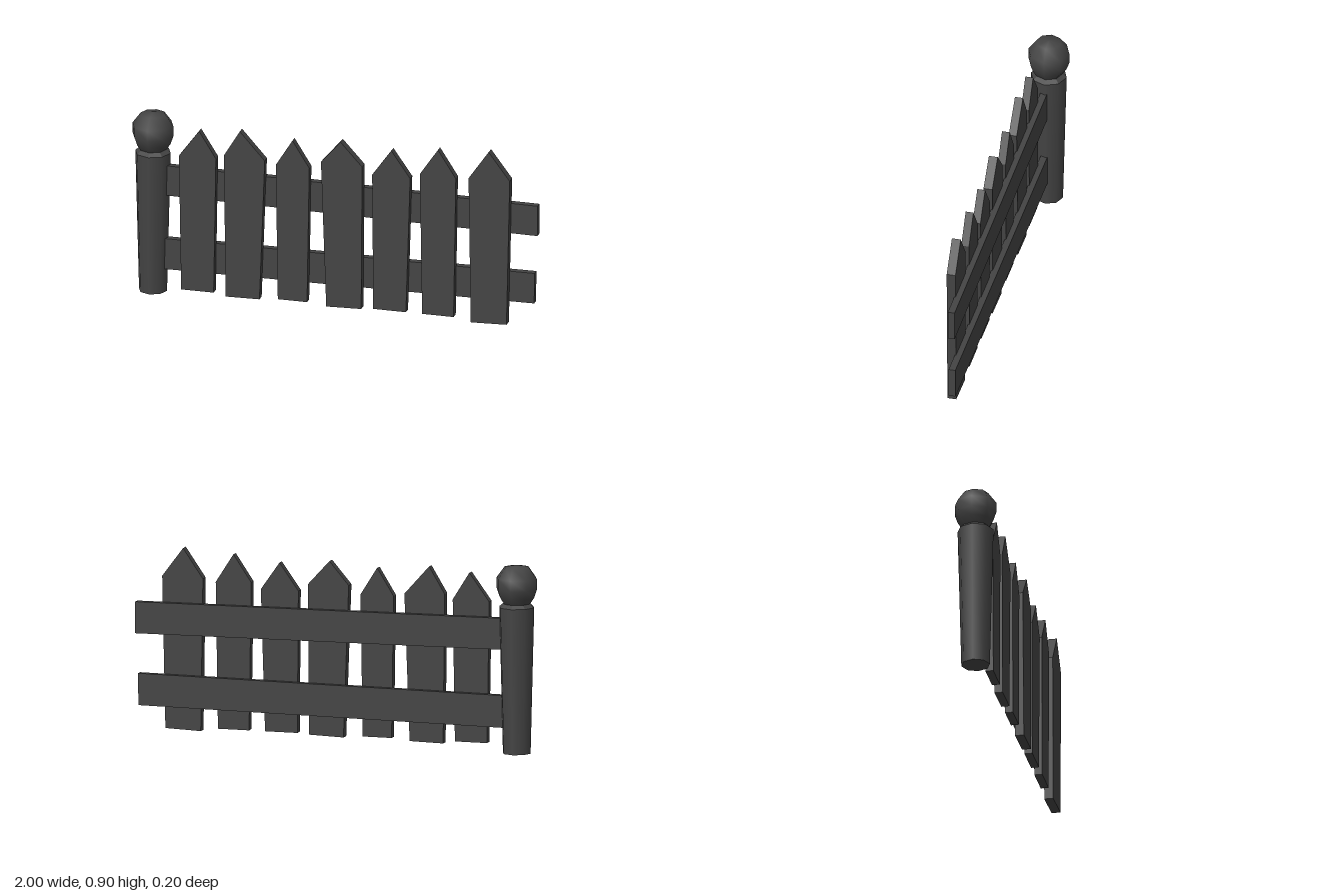
import * as THREE from 'three';

const material = new THREE.MeshStandardMaterial({ color: 0x444444 });
const flat = new THREE.MeshStandardMaterial({ color: 0x444444, flatShading: true });

// Board cut from a front outline, extruded from z0 to z1
function board(name, points, z0, z1) {
  const shape = new THREE.Shape(points.map(([x, y]) => new THREE.Vector2(x, y)));
  const geometry = new THREE.ExtrudeGeometry(shape, { depth: z1 - z0, bevelEnabled: false });
  geometry.translate(0, 0, z0);
  const mesh = new THREE.Mesh(geometry, flat);
  mesh.name = name;
  return mesh;
}

// Eight-sided turned part
function turned(name, profile, mat) {
  const points = profile.map(([r, y]) => new THREE.Vector2(r, y));
  const mesh = new THREE.Mesh(new THREE.LatheGeometry(points, 8), mat);
  mesh.name = name;
  return mesh;
}

export function createModel() {
  const fence = new THREE.Group();
  fence.name = 'fence';

  // Tapered post with chamfered rim and a ball on top
  const post = new THREE.Group();
  post.name = 'post';
  post.position.x = -0.9;
  post.add(
    turned('postShaft', [[0.069, 0], [0.087, 0.703]], material),
    turned('postBase', [[0, 0], [0.069, 0]], flat),
    turned('postRim', [[0.087, 0.703], [0.066, 0.72]], flat),
    turned('postBall', [[0.066, 0.72], [0.086, 0.75], [0.1, 0.79], [0.1, 0.842], [0.061, 0.895], [0, 0.905]], material)
  );
  fence.add(post);

  // Two slightly tilted rails behind the pickets
  fence.add(
    board('upperRail', [[-0.86, 0.495], [1, 0.48], [1, 0.632], [-0.86, 0.646]], -0.01, 0.023),
    board('lowerRail', [[-0.86, 0.119], [0.984, 0.135], [0.986, 0.288], [-0.86, 0.274]], -0.01, 0.023)
  );

  // Uneven pointed pickets: bottom left, bottom right, right shoulder, tip, left shoulder, front z
  const pickets = [
    [[-0.746, 0.037], [-0.586, 0.037], [-0.575, 0.72], [-0.658, 0.852], [-0.757, 0.717], 0.055],
    [[-0.527, 0.024], [-0.36, 0.027], [-0.334, 0.735], [-0.457, 0.872], [-0.535, 0.743], 0.056],
    [[-0.27, 0.037], [-0.126, 0.037], [-0.115, 0.72], [-0.198, 0.852], [-0.28, 0.72], 0.055],
    [[-0.03, 0.027], [0.142, 0.032], [0.147, 0.756], [0.04, 0.872], [-0.056, 0.76], 0.06],
    [[0.2, 0.037], [0.361, 0.037], [0.382, 0.72], [0.289, 0.852], [0.195, 0.72], 0.055],
    [[0.441, 0.037], [0.596, 0.037], [0.607, 0.743], [0.519, 0.88], [0.43, 0.749], 0.055],
    [[0.682, 0.021], [0.858, 0.027], [0.874, 0.759], [0.77, 0.897], [0.671, 0.754], 0.06]
  ];
  pickets.forEach((p, i) => fence.add(board(`picket${i + 1}`, p.slice(0, 5), 0.017, p[5])));

  return fence;
}
